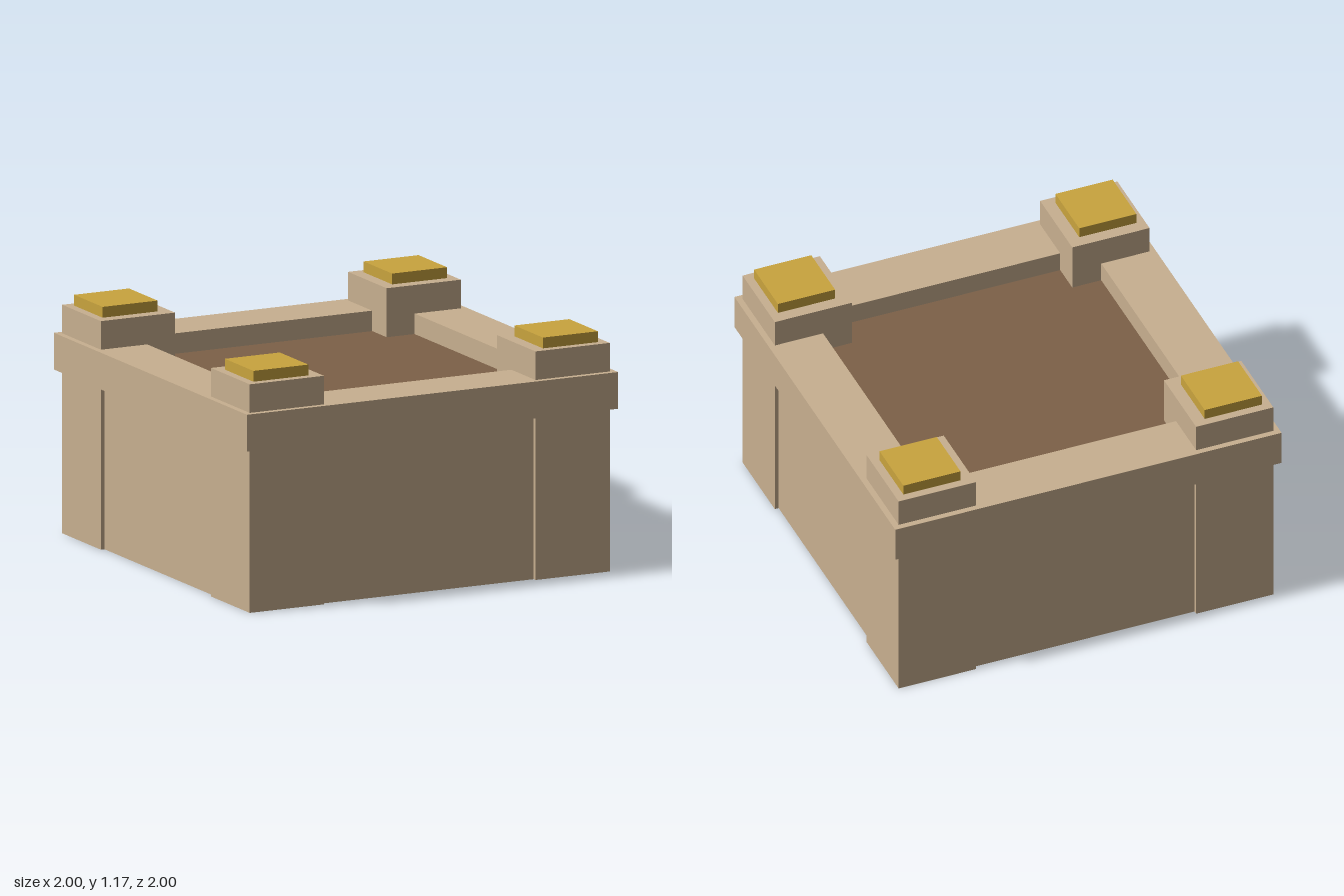
import * as THREE from 'three';

export function createModel() {
  const model = new THREE.Group();
  model.name = 'squareTower';

  const mat = (name, color) => {
    const m = new THREE.MeshStandardMaterial({ color });
    m.name = name;
    return m;
  };
  const stone = mat('sandstone', 0xc8b090);
  const earth = mat('brownFloor', 0x7d6148);
  const gold = mat('gold', 0xc9a43e);

  // Square block standing between two heights
  const block = (name, width, y0, y1, material, x = 0, z = 0) => {
    const mesh = new THREE.Mesh(new THREE.BoxGeometry(width, y1 - y0, width), material);
    mesh.name = name;
    mesh.position.set(x, (y0 + y1) / 2, z);
    model.add(mesh);
  };

  // Walls, set slightly back from the pillars, and the sunken floor
  block('walls', 1.9, 0, 0.81, stone);
  block('floor', 1.46, 0.81, 0.88, earth);

  // Overhanging rim with a square opening
  const square = (path, h) =>
    path.moveTo(-h, -h).lineTo(h, -h).lineTo(h, h).lineTo(-h, h).closePath();
  const outline = square(new THREE.Shape(), 1);
  outline.holes.push(square(new THREE.Path(), 0.72));
  const rimGeometry = new THREE.ExtrudeGeometry(outline, { depth: 0.18, bevelEnabled: false });
  rimGeometry.rotateX(-Math.PI / 2);
  const rim = new THREE.Mesh(rimGeometry, stone);
  rim.name = 'rim';
  rim.position.y = 0.8;
  model.add(rim);

  // Corner pillars with gold caps
  for (const sx of [-1, 1]) {
    for (const sz of [-1, 1]) {
      const corner = (sz > 0 ? 'front' : 'back') + (sx > 0 ? 'Left' : 'Right');
      block(corner + 'Pillar', 0.4, 0, 1.12, stone, sx * 0.77, sz * 0.77);
      block(corner + 'Cap', 0.296, 1.12, 1.173, gold, sx * 0.78, sz * 0.78);
    }
  }

  return model;
}
